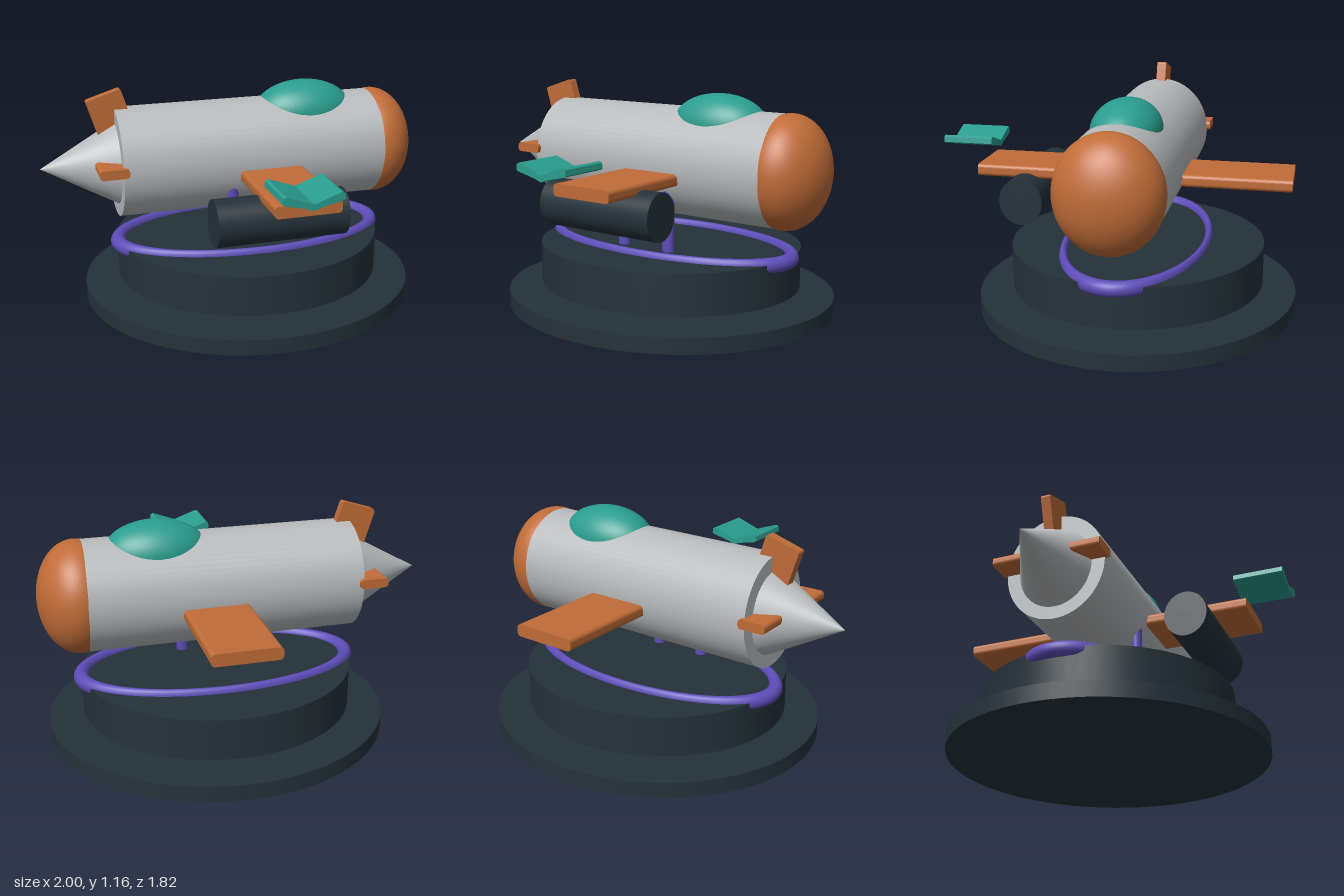
import * as THREE from 'three';

const mat = (name, color) => {
  const m = new THREE.MeshStandardMaterial({ color });
  m.name = name;
  return m;
};

export function createModel() {
  const grey = mat('light grey', 0xb8babc);
  const orange = mat('orange', 0xc06c38);
  const teal = mat('teal', 0x2a9d8f);
  const dark = mat('dark slate', 0x25323a);
  const purple = mat('purple', 0x5e4db9);

  const model = new THREE.Group();
  model.name = 'rocketPlane';
  const CX = 0.094, CZ = -0.086, AXIS_Y = 0.773;

  const add = (name, geometry, material, x, y, z) => {
    const mesh = new THREE.Mesh(geometry, material);
    mesh.name = name;
    mesh.position.set(x, y, z);
    model.add(mesh);
    return mesh;
  };
  const ellipsoid = (rx, ry, rz) => new THREE.SphereGeometry(1, 48, 32).scale(rx, ry, rz);
  // elliptical cylinder or cone lying along x, with its top towards +x
  const alongX = (rTop, rBottom, length, ry, rz) =>
    new THREE.CylinderGeometry(rTop, rBottom, length, 64).rotateZ(-Math.PI / 2).scale(1, ry, rz);
  // shape in x and y, extruded evenly to both sides along z
  const slab = (shape, depth) =>
    new THREE.ExtrudeGeometry(shape, { depth, bevelEnabled: false, curveSegments: 6 })
      .translate(0, 0, -depth / 2);
  const roundedRect = (w, h, r) => {
    const s = new THREE.Shape(), a = w / 2 - r, b = h / 2 - r;
    s.absarc(a, -b, r, -Math.PI / 2, 0, false);
    s.absarc(a, b, r, 0, Math.PI / 2, false);
    s.absarc(-a, b, r, Math.PI / 2, Math.PI, false);
    s.absarc(-a, -b, r, Math.PI, Math.PI * 1.5, false);
    s.closePath();
    return s;
  };

  // two-step oval stand
  add('standBase', new THREE.CylinderGeometry(1, 1, 0.082, 64).scale(0.885, 1, 0.825), dark, CX, 0.041, CZ);
  add('standPlinth', new THREE.CylinderGeometry(1, 1, 0.212, 64).scale(0.705, 1, 0.654), dark, CX, 0.228, CZ);

  // oval ring around the plinth
  add('standRing', new THREE.TorusGeometry(0.71, 0.039, 20, 80).rotateX(Math.PI / 2).scale(1, 1, 0.508),
    purple, CX, 0.325, CZ);

  // fuselage, nose and tail
  add('fuselage', alongX(1, 1, 1.415, 0.283, 0.261), grey, 0.0925, AXIS_Y, CZ);
  add('nose', ellipsoid(0.2, 0.287, 0.263), orange, 0.8, AXIS_Y, CZ);
  add('tailCone', alongX(1, 0, 0.387, 0.214, 0.193), grey, -0.8065, AXIS_Y - 0.005, CZ);
  add('canopy', ellipsoid(0.262, 0.155, 0.173), teal, 0.402, 0.979, CZ);

  // wing and tail fins, each one piece through the body
  add('wing', slab(roundedRect(0.336, 0.062, 0.02), 1.582), orange, 0.15, 0.716, CZ);
  add('sideFins', slab(roundedRect(0.147, 0.048, 0.018), 0.562), orange, -0.664, 0.796, CZ);
  const fin = add('topFin', slab(roundedRect(0.186, 0.25, 0.012), 0.05), orange, -0.629, 1.012, CZ);
  fin.rotation.z = 0.305;

  // side pod
  add('sidePod', alongX(1, 1, 0.667, 0.12, 0.11), dark, 0.091, 0.593, 0.45);

  // landing legs with wheels sunk into the plinth
  for (const x of [-0.05, 0.231]) {
    add('landingLeg', new THREE.CylinderGeometry(0.032, 0.032, 0.56, 24).scale(1, 1, 0.87), purple, x, 0.38, 0.121);
    add('wheel', new THREE.TorusGeometry(0.098, 0.031, 16, 40).rotateY(Math.PI / 2), dark, x, 0.209, 0.121);
  }

  // bent plate beyond the wing tip
  const half = [[0.149, 0.836], [0.145, 0.862], [0.132, 0.87], [0.052, 0.842], [0, 0.823]];
  const under = [[0, 0.792], [0.038, 0.806], [0.139, 0.829]];
  const outline = [
    ...half,
    ...half.slice(0, -1).reverse().map(([x, y]) => [-x, y]),
    ...under.slice(1).reverse().map(([x, y]) => [-x, y]),
    ...under,
  ].map(([x, y]) => new THREE.Vector2(x, y));
  add('wingTipPlate', slab(new THREE.Shape(outline), 0.256), teal, CX, 0, 0.782);

  return model;
}
